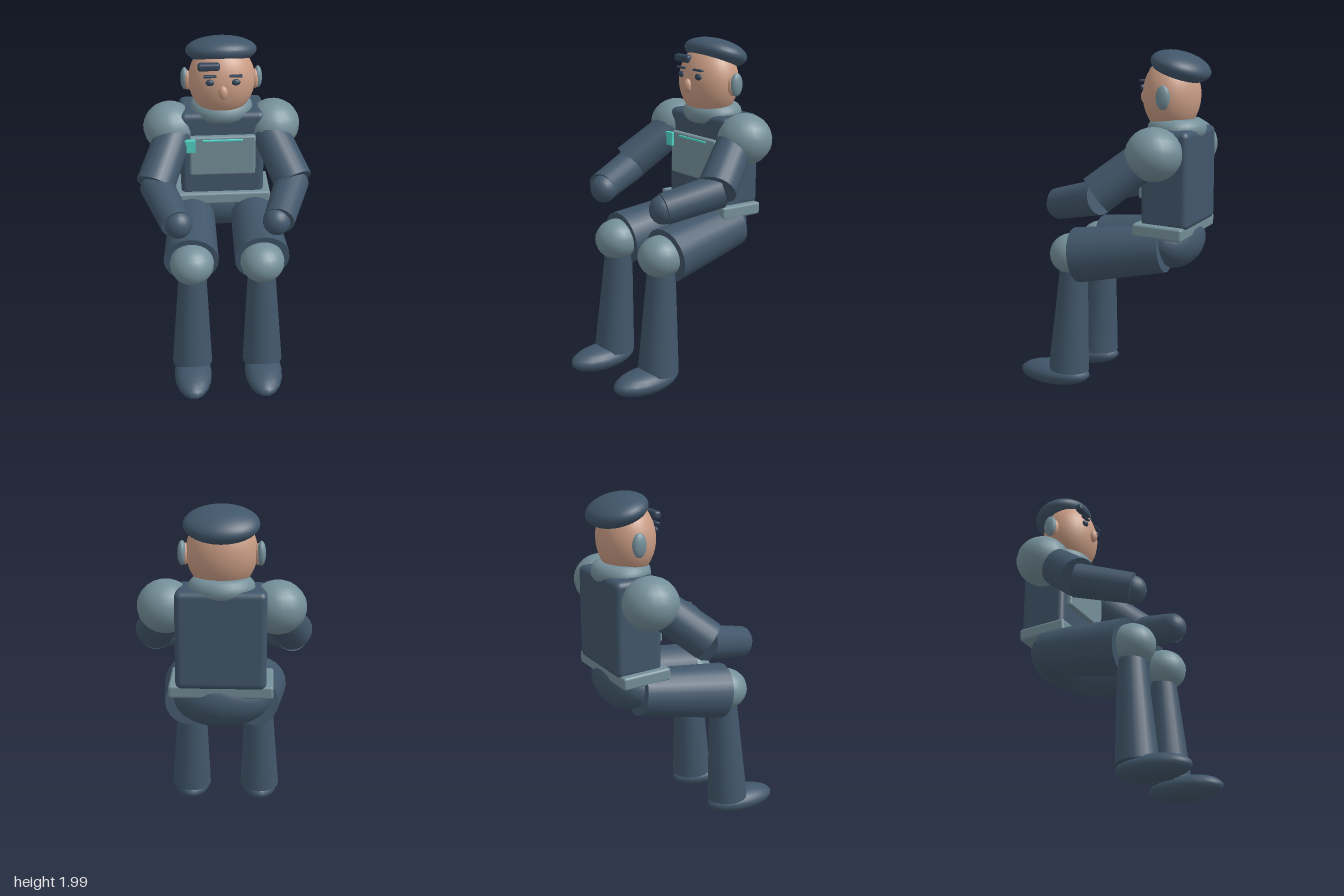
import * as THREE from 'three';
import { RoundedBoxGeometry } from 'three/addons/geometries/RoundedBoxGeometry.js';

function material(name, color) {
  const m = new THREE.MeshStandardMaterial({ color });
  m.name = name;
  return m;
}

export function createModel() {
  const model = new THREE.Group();
  model.name = 'seatedFigure';
  const navy = material('dark slate cloth', 0x41566a);
  const steel = material('grey blue padding', 0x748f99);
  const skin = material('skin', 0xc99c84);
  const teal = material('teal accent', 0x4fd1c5);
  const dark = material('dark features', 0x34465a);

  function add(name, geometry, mat, pos, parent = model) {
    const mesh = new THREE.Mesh(geometry, mat);
    mesh.name = name;
    mesh.position.set(...pos);
    parent.add(mesh);
    return mesh;
  }
  function ball(name, mat, pos, radii, parent, segs = 24) {
    const g = new THREE.SphereGeometry(1, segs, Math.round(segs * 0.7));
    g.scale(...radii);
    return add(name, g, mat, pos, parent);
  }
  function box(name, mat, pos, size, radius, parent) {
    return add(name, new RoundedBoxGeometry(...size, 3, radius), mat, pos, parent);
  }
  // Tapered cylinder running from a to b
  function limb(name, mat, a, b, ra, rb, parent) {
    const from = new THREE.Vector3(...a), to = new THREE.Vector3(...b);
    const axis = to.clone().sub(from);
    const mid = from.clone().add(to).multiplyScalar(0.5);
    const mesh = add(name, new THREE.CylinderGeometry(rb, ra, axis.length(), 20), mat, mid.toArray(), parent);
    mesh.quaternion.setFromUnitVectors(new THREE.Vector3(0, 1, 0), axis.normalize());
    return mesh;
  }

  // Torso, belt and pelvis
  box('torso', navy, [0, 1.285, -0.375], [0.5, 0.55, 0.28], 0.035);
  box('belt', steel, [0, 0.998, -0.35], [0.58, 0.075, 0.295], 0.015).rotation.x = -0.05;
  ball('pelvis', navy, [0, 0.91, -0.365], [0.27, 0.16, 0.155]);

  // Chest panel with its light strip and square tag
  box('chestPanel', steel, [0, 1.298, -0.23], [0.392, 0.255, 0.05], 0.012);
  box('chestStrip', teal, [0, 1.405, -0.203], [0.24, 0.013, 0.012], 0.004);
  box('chestTag', teal, [-0.198, 1.378, -0.192], [0.072, 0.083, 0.02], 0.004);

  // Padded collar
  const collar = new THREE.TorusGeometry(0.125, 0.06, 14, 32);
  collar.rotateX(Math.PI / 2);
  collar.scale(1, 1, 0.9);
  add('collar', collar, steel, [0, 1.556, -0.363]);

  // Head and cap
  const head = new THREE.Group();
  head.name = 'head';
  model.add(head);
  ball('skull', skin, [0, 1.745, -0.33], [0.195, 0.22, 0.162], head, 32);
  ball('nose', skin, [0, 1.73, -0.168], [0.027, 0.041, 0.027], head, 16);
  ball('cap', navy, [0, 1.905, -0.382], [0.207, 0.082, 0.172], head, 32).rotation.x = -0.3;
  box('capBadge', dark, [-0.08, 1.878, -0.2], [0.127, 0.045, 0.045], 0.016, head);

  for (const s of [-1, 1]) {
    // Face details and ear pads
    ball('eye', dark, [s * 0.074, 1.787, -0.183], [0.026, 0.019, 0.015], head, 16);
    box('eyebrow', dark, [s * 0.074, 1.826, -0.182], [0.074, 0.012, 0.024], 0.004, head);
    ball('ear', skin, [s * 0.198, 1.735, -0.345], [0.024, 0.06, 0.04], head, 16);
    ball('earPad', steel, [s * 0.214, 1.742, -0.355], [0.025, 0.068, 0.042], head, 20);

    // Arm
    const arm = new THREE.Group();
    arm.name = s > 0 ? 'leftArm' : 'rightArm';
    model.add(arm);
    const elbow = [s * 0.405, 1.21, -0.04];
    ball('shoulder', steel, [s * 0.308, 1.44, -0.34], [0.16, 0.15, 0.16], arm, 18);
    limb('upperArm', navy, [s * 0.275, 1.435, -0.31], elbow, 0.108, 0.115, arm);
    limb('forearm', navy, [s * 0.4, 1.2, -0.06], [s * 0.292, 1.125, 0.25], 0.1, 0.09, arm);
    ball('hand', navy, [s * 0.28, 1.12, 0.245], [0.08, 0.085, 0.08], arm, 18);

    // Leg
    const leg = new THREE.Group();
    leg.name = s > 0 ? 'leftLeg' : 'rightLeg';
    model.add(leg);
    limb('thigh', navy, [s * 0.185, 0.89, -0.36], [s * 0.21, 0.812, 0.17], 0.135, 0.163, leg);
    ball('knee', steel, [s * 0.207, 0.815, 0.205], [0.13, 0.122, 0.135], leg, 20);
    limb('shin', navy, [s * 0.204, 0.78, 0.195], [s * 0.216, 0.11, 0.232], 0.079, 0.121, leg);
    ball('foot', navy, [s * 0.216, 0.078, 0.323], [0.114, 0.073, 0.222], leg, 18);
  }
  return model;
}
